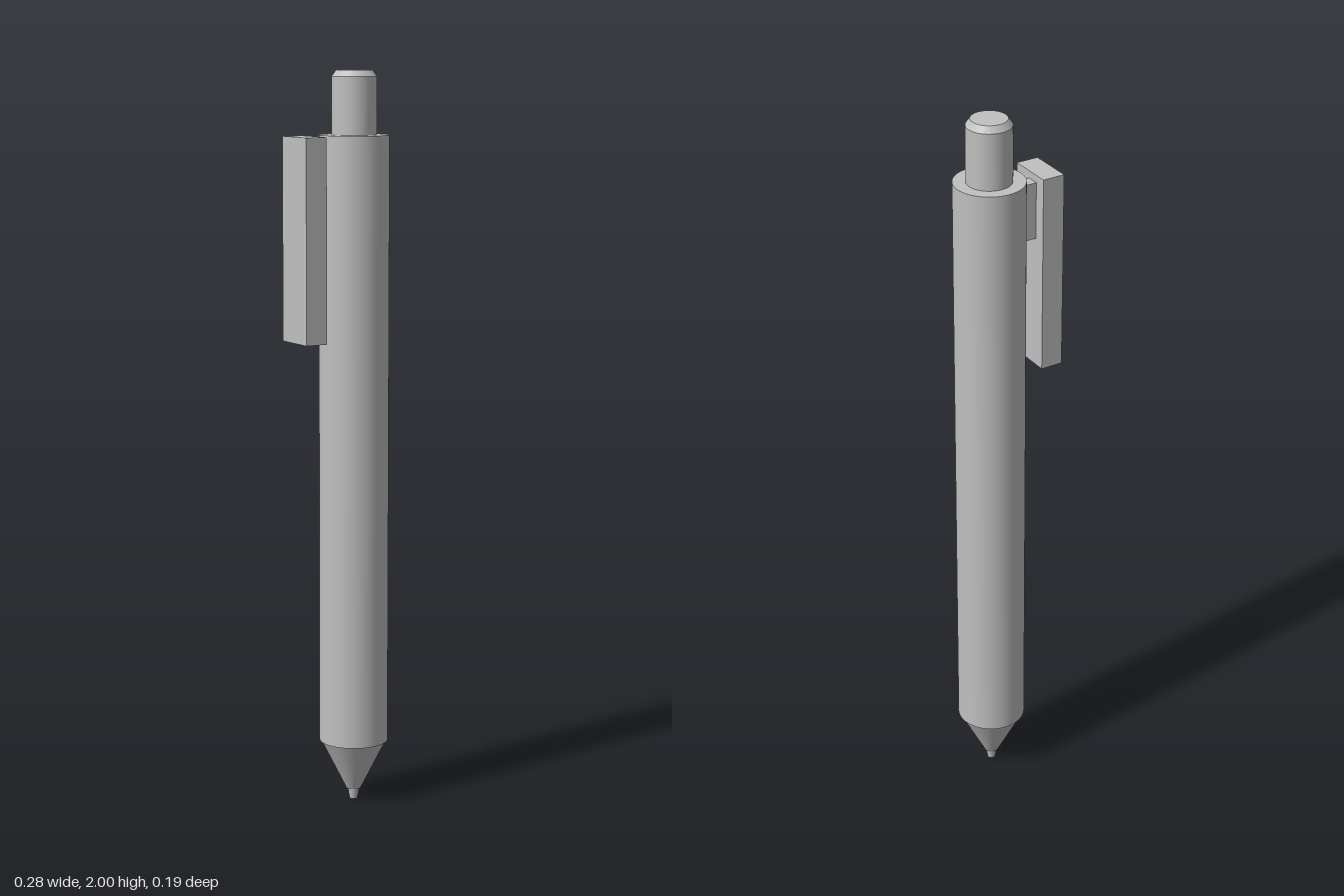
import * as THREE from 'three';

export function createModel() {
  const model = new THREE.Group();
  model.name = 'pen';
  const grey = new THREE.MeshStandardMaterial({ color: 0xc0c0c0 });
  grey.name = 'grey';

  const add = (name, geometry, x, y, z) => {
    const mesh = new THREE.Mesh(geometry, grey);
    mesh.name = name;
    mesh.position.set(x, y, z);
    model.add(mesh);
  };

  // Round parts share the pen's axis
  const axisX = 0.044, axisZ = -0.001;
  const round = (name, rTop, rBottom, y0, y1) =>
    add(name, new THREE.CylinderGeometry(rTop, rBottom, y1 - y0, 64), axisX, (y0 + y1) / 2, axisZ);

  round('tipPoint', 0.017, 0.011, 0, 0.034);
  round('tipCone', 0.09, 0.02, 0.03, 0.17);
  round('barrel', 0.094, 0.094, 0.17, 1.83);
  round('button', 0.06, 0.06, 1.83, 1.983);
  round('buttonBevel', 0.048, 0.06, 1.983, 2);

  // Boxes given by their two opposite corners
  const box = (name, [x0, y0, z0], [x1, y1, z1]) =>
    add(name, new THREE.BoxGeometry(x1 - x0, y1 - y0, z1 - z0),
      (x0 + x1) / 2, (y0 + y1) / 2, (z0 + z1) / 2);

  box('clip', [-0.139, 1.285, -0.064], [-0.077, 1.828, 0.061]);
  box('clipMount', [-0.078, 1.652, -0.031], [-0.03, 1.808, 0.003]);

  return model;
}
